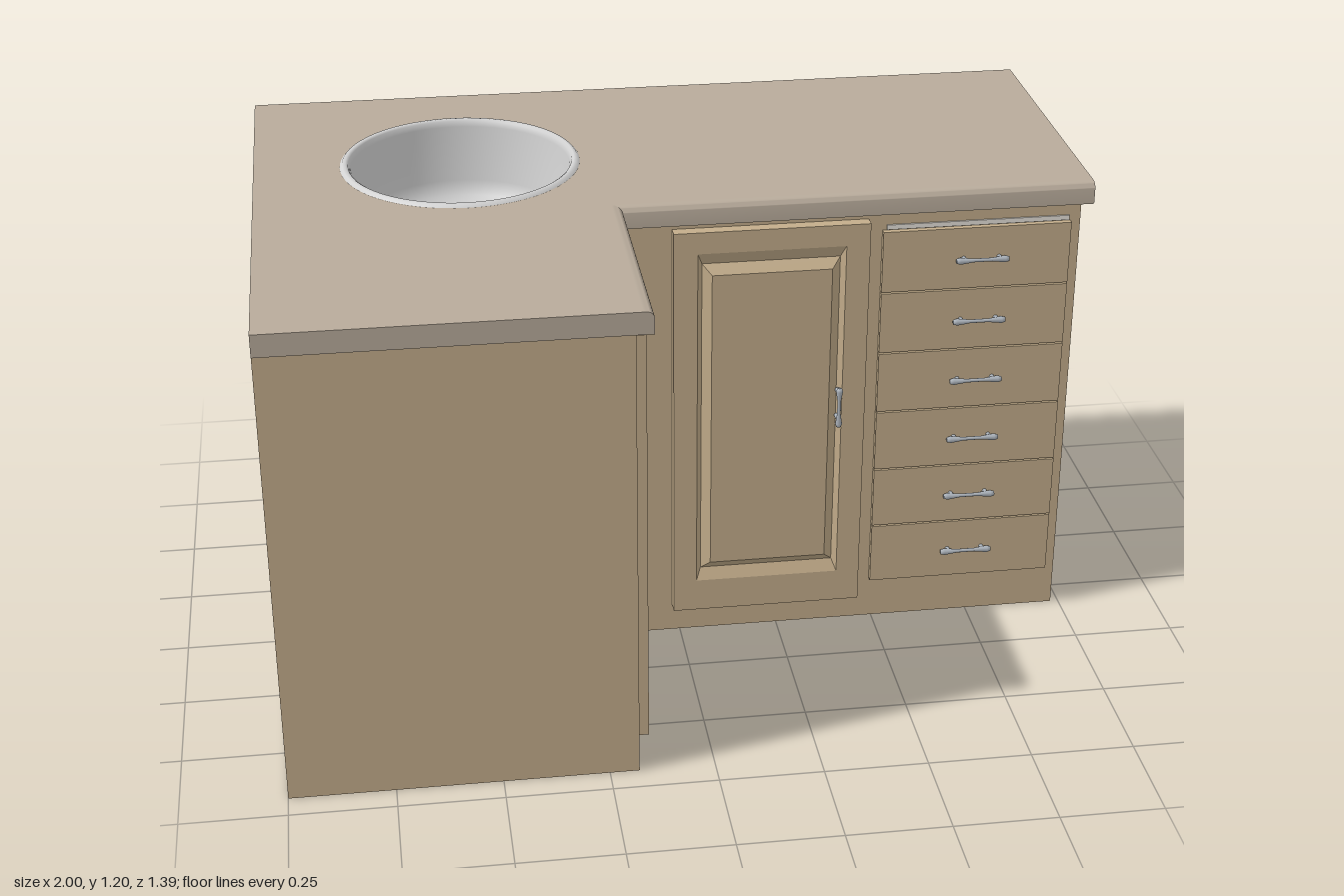
import * as THREE from 'three';
import { toCreasedNormals } from 'three/addons/utils/BufferGeometryUtils.js';

const mat = (name, color, side = THREE.FrontSide) => {
  const m = new THREE.MeshStandardMaterial({ color, side });
  m.name = name;
  return m;
};

export function createModel() {
  const wood = mat('wood', 0xc3ad8b);
  const stone = mat('worktop', 0xb8ab9b);
  const steel = mat('steel', 0xd2d2d2, THREE.DoubleSide);
  const metal = mat('handle metal', 0xa9b0b8);
  const pale = mat('pale board', 0xe6e2da);

  const root = new THREE.Group();
  root.name = 'cornerKitchenUnit';
  const add = (name, geo, material, parent = root, x = 0, y = 0, z = 0) => {
    const mesh = new THREE.Mesh(geo, material);
    mesh.name = name;
    mesh.position.set(x, y, z);
    parent.add(mesh);
    return mesh;
  };

  // L-shaped outline on the floor plane; (ix, iz) is the inner corner
  const lPoints = (x0, x1, z0, z1, ix, iz) =>
    [[x0, z0], [x1, z0], [x1, iz], [ix, iz], [ix, z1], [x0, z1]].map(([x, z]) => new THREE.Vector2(x, -z));
  const slab = (shape, depth) =>
    new THREE.ExtrudeGeometry(shape, { depth, bevelEnabled: false, curveSegments: 32 }).rotateX(-Math.PI / 2);

  // Carcass: floor panel and hollow walls
  const outer = lPoints(-1, 0.98, -0.69, 0.685, -0.18, 0.078);
  add('carcassFloor', slab(new THREE.Shape(outer), 0.02), wood);
  const walls = new THREE.Shape(outer);
  walls.holes.push(new THREE.Path(lPoints(-0.98, 0.96, -0.67, 0.665, -0.2, 0.058)));
  add('carcassWalls', slab(walls, 1.12), wood, root, 0, 0.02);

  // Worktop with a round cut-out and rounded front edges
  const sinkX = -0.5, sinkZ = -0.228, nose = 0.025;
  const top = new THREE.Shape(lPoints(-1, 1, -0.695, 0.692, -0.14 - nose, 0.115 - nose));
  top.holes.push(new THREE.Path().absarc(sinkX, -sinkZ, 0.275, 0, Math.PI * 2, true));
  add('worktop', slab(top, 0.054), stone, root, 0, 1.138);

  const edge = new THREE.Shape();
  edge.moveTo(-nose, 0);
  edge.lineTo(0, 0);
  edge.lineTo(0, 0.036);
  edge.absarc(-0.018, 0.036, 0.018, 0, Math.PI / 2, false);
  edge.lineTo(-nose, 0.054);
  const nosing = (depth) =>
    toCreasedNormals(new THREE.ExtrudeGeometry(edge, { depth, bevelEnabled: false, curveSegments: 8 }), 0.6);
  add('worktopEdgeLeg', nosing(0.692 - 0.09), stone, root, -0.14, 1.138, 0.09);
  add('worktopEdgeMain', nosing(1.165).rotateY(-Math.PI / 2), stone, root, 1, 1.138, 0.115);

  // Round sink: rim and bowl in one profile, then the drain
  const sink = new THREE.Group();
  sink.name = 'sink';
  sink.position.set(sinkX, 1.192, sinkZ);
  root.add(sink);
  const lathe = (pts, seg = 64) => new THREE.LatheGeometry(pts.map(([r, y]) => new THREE.Vector2(r, y)), seg);
  add('sinkBowl', lathe([[0, -0.225], [0.16, -0.22], [0.21, -0.21], [0.24, -0.185], [0.255, -0.15],
    [0.268, -0.01], [0.272, 0.004], [0.278, 0.008], [0.286, 0.007], [0.292, 0]]), steel, sink);
  add('drainRing', new THREE.TorusGeometry(0.04, 0.006, 8, 32).rotateX(Math.PI / 2), steel, sink, 0, -0.219, -0.125);
  add('drainPlug', new THREE.CylinderGeometry(0.022, 0.026, 0.012, 24), metal, sink, 0, -0.217, -0.125);
  add('drainKnob', new THREE.SphereGeometry(0.009, 12, 8), steel, sink, 0, -0.208, -0.125);

  // Waisted bar handle on two posts, upright, standing out along +z
  const makeHandle = (name, half, reach) => {
    const g = new THREE.Group();
    g.name = name;
    const grip = lathe([[0, -half], [0.006, -half], [0.0085, -half * 0.85], [0.0045, -half * 0.35],
      [0.0045, half * 0.35], [0.0085, half * 0.85], [0.006, half], [0, half]], 12);
    add('grip', grip, metal, g, 0, 0, reach);
    for (const s of [-1, 1]) {
      add('post', new THREE.CylinderGeometry(0.0045, 0.006, reach, 10).rotateX(Math.PI / 2), metal, g,
        0, s * half * 0.68, reach / 2);
    }
    return g;
  };

  // Rectangular loops [halfWidth, halfHeight, z, yShift] joined by flat faces and capped
  const loopPanel = (loops) => {
    const rings = loops.map(([w, h, z, dy = 0]) => [[-w, dy - h, z], [w, dy - h, z], [w, dy + h, z], [-w, dy + h, z]]);
    const pos = [];
    const quad = (a, b, c, d) => pos.push(...a, ...b, ...c, ...a, ...c, ...d);
    for (let i = 0; i < rings.length - 1; i++) {
      for (let k = 0; k < 4; k++) {
        const n = (k + 1) % 4;
        quad(rings[i][k], rings[i][n], rings[i + 1][n], rings[i + 1][k]);
      }
    }
    quad(...rings[rings.length - 1]);
    const geo = new THREE.BufferGeometry();
    geo.setAttribute('position', new THREE.Float32BufferAttribute(pos, 3));
    geo.computeVertexNormals();
    return geo;
  };

  // Raised-panel doors
  const doorGeo = loopPanel([[0.238, 0.521, 0], [0.238, 0.521, 0.03], [0.18, 0.451, 0.03, 0.015],
    [0.168, 0.42, 0.016, 0.015], [0.146, 0.396, 0.036, 0.015]]);
  const makeDoor = (name, x, z, turn) => {
    const door = new THREE.Group();
    door.name = name;
    add('doorPanel', doorGeo, wood, door);
    const handle = makeHandle('doorHandle', 0.052, 0.03);
    handle.position.set(0.168, 0.047, 0.028);
    door.add(handle);
    door.position.set(x, 0.595, z);
    door.rotation.y = turn;
    root.add(door);
  };
  makeDoor('frontDoor', 0.218, 0.081, 0);
  makeDoor('sideDoor', -0.183, 0.41, Math.PI / 2);

  // Six drawers with horizontal handles
  const pitch = 0.1625;
  for (let i = 0; i < 6; i++) {
    const drawer = new THREE.Group();
    drawer.name = 'drawer' + (i + 1);
    drawer.position.set(0.723, 0.11 + pitch * (i + 0.5), 0.078);
    root.add(drawer);
    add('drawerFront', new THREE.BoxGeometry(0.464, pitch - 0.004, 0.015), wood, drawer, 0, 0, 0.0075);
    const handle = makeHandle('drawerHandle', 0.065, 0.016);
    handle.rotation.z = Math.PI / 2;
    handle.position.set(0.012, 0, 0.015);
    drawer.add(handle);
  }

  // Pull-out board showing above the top drawer
  add('pullOutBoard', new THREE.BoxGeometry(0.45, 0.012, 0.008), pale, root, 0.727, 1.091, 0.078);

  return root;
}
